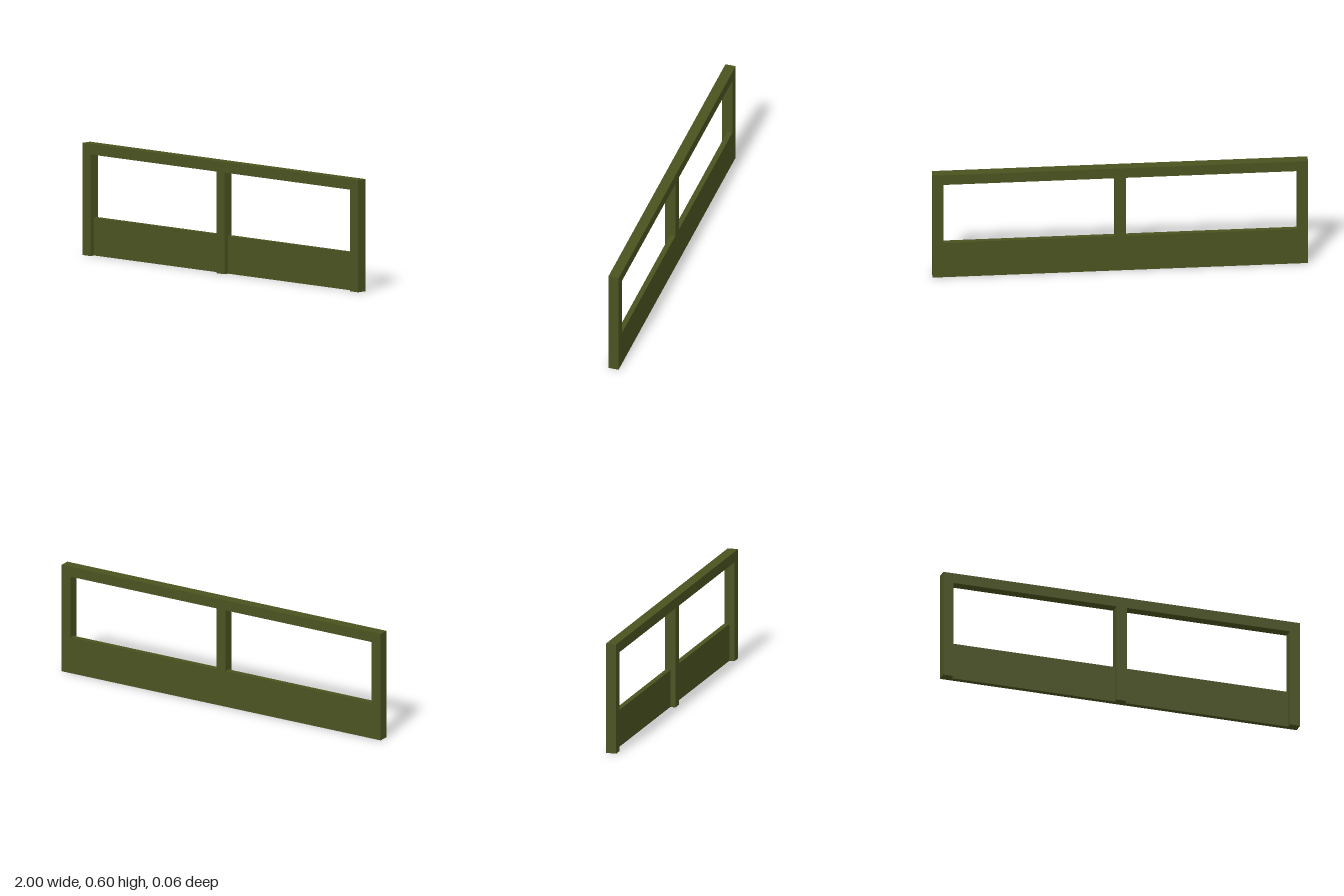
import * as THREE from 'three';

const HEIGHT = 0.602, BAR = 0.057, PANEL_HEIGHT = 0.203;

export function createModel() {
  const model = new THREE.Group();
  model.name = 'railing';
  const olive = new THREE.MeshStandardMaterial({ color: 0x4b5320 });
  olive.name = 'olive green';

  const addBox = (name, w, h, d, x, y, z) => {
    const mesh = new THREE.Mesh(new THREE.BoxGeometry(w, h, d), olive);
    mesh.name = name;
    mesh.position.set(x, y, z);
    model.add(mesh);
  };

  // Top rail across the full width
  addBox('topRail', 2, BAR, BAR, 0, HEIGHT - BAR / 2, 0);

  // Three posts beneath the rail
  const postHeight = HEIGHT - BAR;
  const posts = { rightPost: -1 + BAR / 2, middlePost: 0, leftPost: 1 - BAR / 2 };
  for (const [name, x] of Object.entries(posts)) {
    addBox(name, BAR, postHeight, BAR, x, postHeight / 2, 0);
  }

  // Kick panels between the posts, flush with the back and recessed in front
  const panelWidth = 1 - BAR * 1.5;
  for (const side of [-1, 1]) {
    addBox(side < 0 ? 'rightPanel' : 'leftPanel', panelWidth, PANEL_HEIGHT, BAR / 2,
      side * (BAR / 2 + panelWidth / 2), PANEL_HEIGHT / 2, -BAR / 4);
  }
  return model;
}
